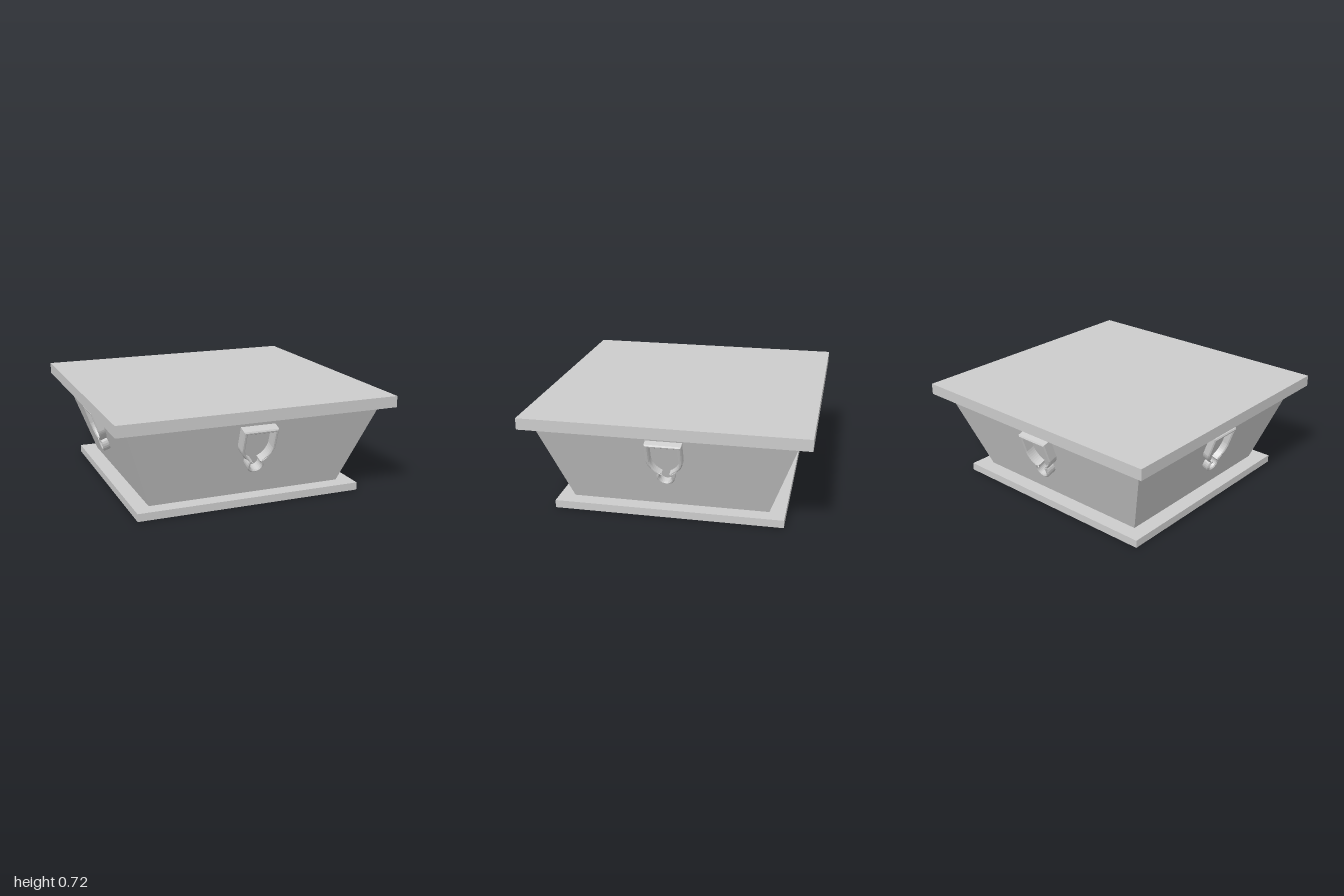
import * as THREE from 'three';

const material = new THREE.MeshStandardMaterial({ color: 0xcccccc, flatShading: true });

const BODY_BOTTOM = 0.055, BODY_TOP = 0.64;
const bottomHalf = { x: 0.71, z: 0.69 };
const topHalf = { x: 0.915, z: 0.89 };

function addMesh(parent, name, geometry, y = 0) {
  const mesh = new THREE.Mesh(geometry, material);
  mesh.name = name;
  mesh.position.y = y;
  parent.add(mesh);
  return mesh;
}

// Shield outline that narrows to a neck and ends in a round drop
function traceShield(path, { top, half, sideEnd, neckX, neckY, radius }) {
  const centreY = -0.28;
  const angle = Math.atan2(neckY - centreY, neckX);
  path.moveTo(-half, top);
  path.lineTo(-half, sideEnd);
  path.quadraticCurveTo(-half + 0.01, neckY + 0.035, -neckX, neckY);
  path.absarc(0, centreY, radius, Math.PI - angle, Math.PI * 2 + angle, false);
  path.quadraticCurveTo(half - 0.01, neckY + 0.035, half, sideEnd);
  path.lineTo(half, top);
  path.closePath();
  return path;
}

// Open, bevelled shield frame; its back sinks slightly into the wall
function shieldGeometry(depth) {
  const bevel = 0.008;
  const shape = traceShield(new THREE.Shape(),
    { top: 0, half: 0.125, sideEnd: -0.15, neckX: 0.05, neckY: -0.242, radius: 0.063 });
  shape.holes.push(traceShield(new THREE.Path(),
    { top: -0.025, half: 0.098, sideEnd: -0.145, neckX: 0.027, neckY: -0.251, radius: 0.04 }));
  const geometry = new THREE.ExtrudeGeometry(shape, {
    depth: depth - bevel, curveSegments: 8,
    bevelEnabled: true, bevelSegments: 1,
    bevelThickness: bevel, bevelSize: bevel, bevelOffset: -bevel,
  });
  return geometry;
}

export function createModel() {
  const model = new THREE.Group();
  model.name = 'chest';

  // Base slab and lid slab
  addMesh(model, 'base', new THREE.BoxGeometry(1.64, 0.055, 1.6), 0.0275);
  addMesh(model, 'lid', new THREE.BoxGeometry(2, 0.08, 1.95), 0.68);

  // Body: a box flaring towards the top
  const body = new THREE.BoxGeometry(2, BODY_TOP - BODY_BOTTOM, 2);
  const p = body.attributes.position;
  for (let i = 0; i < p.count; i++) {
    const half = p.getY(i) > 0 ? topHalf : bottomHalf;
    p.setX(i, p.getX(i) * half.x);
    p.setZ(i, p.getZ(i) * half.z);
  }
  body.computeVertexNormals();
  addMesh(model, 'body', body, (BODY_TOP + BODY_BOTTOM) / 2);

  // One shield ornament lying on each sloping wall
  const y = 0.59;
  const names = ['frontOrnament', 'leftOrnament', 'backOrnament', 'rightOrnament'];
  names.forEach((name, i) => {
    const axis = i % 2 ? 'x' : 'z';
    const slope = (topHalf[axis] - bottomHalf[axis]) / (BODY_TOP - BODY_BOTTOM);
    const out = bottomHalf[axis] + slope * (y - BODY_BOTTOM);
    const turn = i * Math.PI / 2;
    const ornament = addMesh(model, name, shieldGeometry(i % 2 ? 0.05 : 0.07));
    ornament.rotation.set(Math.atan(slope), turn, 0, 'YXZ');
    ornament.position.set(Math.sin(turn) * out, y, Math.cos(turn) * out);
  });

  return model;
}
